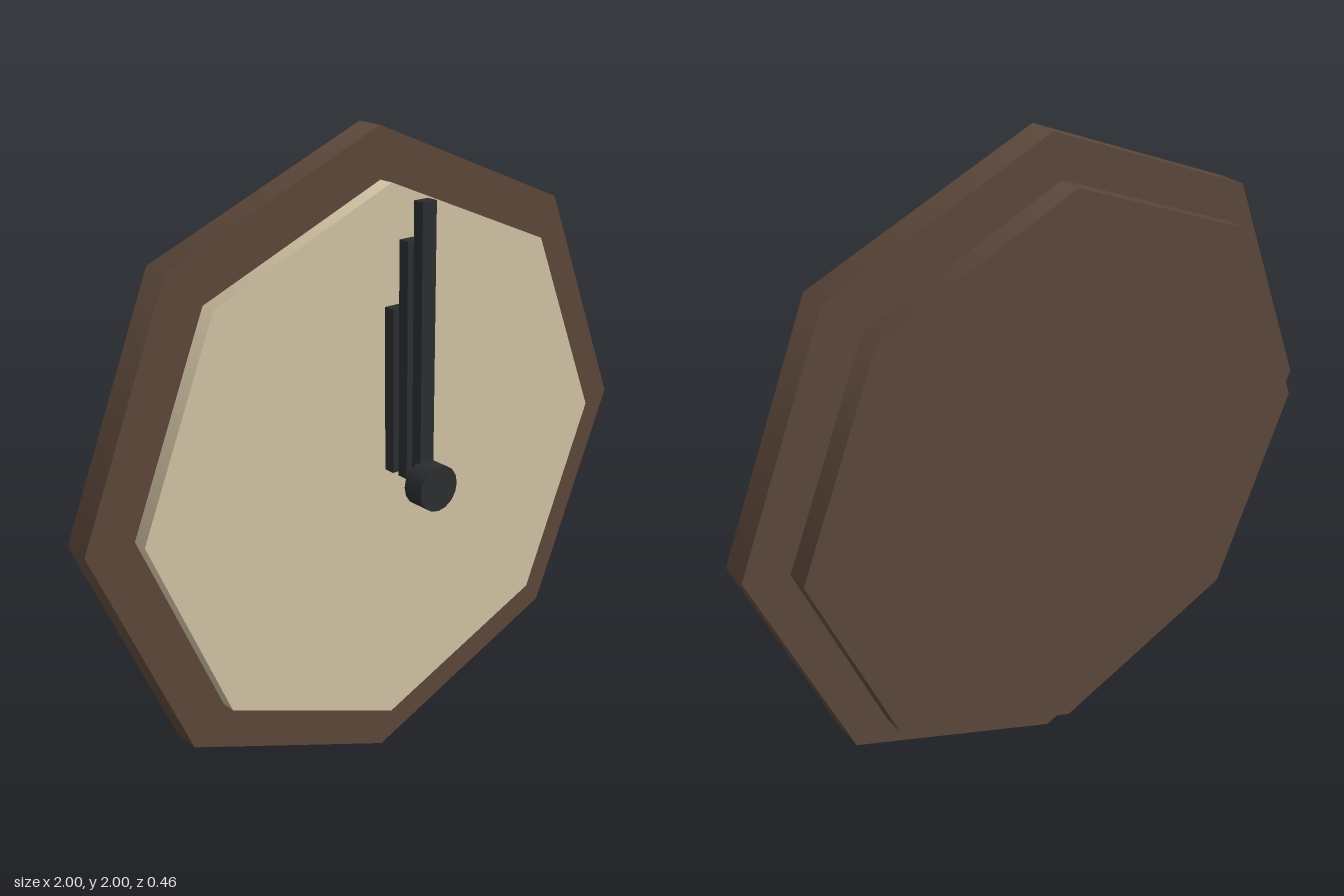
import * as THREE from 'three';

function material(name, color) {
  const m = new THREE.MeshStandardMaterial({ color });
  m.name = name;
  return m;
}

export function createModel() {
  const brown = material('dark wood brown', 0x5c473a);
  const cream = material('cream dial', 0xd0c1a2);
  const black = material('charcoal', 0x2b2d2f);
  const clock = new THREE.Group();
  clock.name = 'wallClock';

  // Disc centred at y = 1, lying between two depths
  const disc = (name, radius, back, front, sides, mat) => {
    const geo = new THREE.CylinderGeometry(radius, radius, front - back, sides);
    geo.rotateX(Math.PI / 2);
    const mesh = new THREE.Mesh(geo, mat);
    mesh.name = name;
    mesh.position.set(0, 1, (back + front) / 2);
    clock.add(mesh);
  };

  // Octagonal case and dial
  disc('backPlate', 0.88, -0.23, -0.16, 8, brown);
  disc('frame', 1, -0.12, -0.03, 8, brown);
  disc('dial', 0.85, -0.03, 0.02, 8, cream);

  // Three upright hands, stacked in depth
  const hands = [
    ['hourHand', 0.5, 0.02, 0.057],
    ['minuteHand', 0.706, 0.081, 0.117],
    ['secondHand', 0.824, 0.141, 0.177],
  ];
  for (const [name, length, back, front] of hands) {
    const mesh = new THREE.Mesh(new THREE.BoxGeometry(0.05, length, front - back), black);
    mesh.name = name;
    mesh.position.set(0, 1 + length / 2, (back + front) / 2);
    clock.add(mesh);
  }

  // Centre cap
  disc('hub', 0.07, 0.16, 0.23, 16, black);
  return clock;
}
